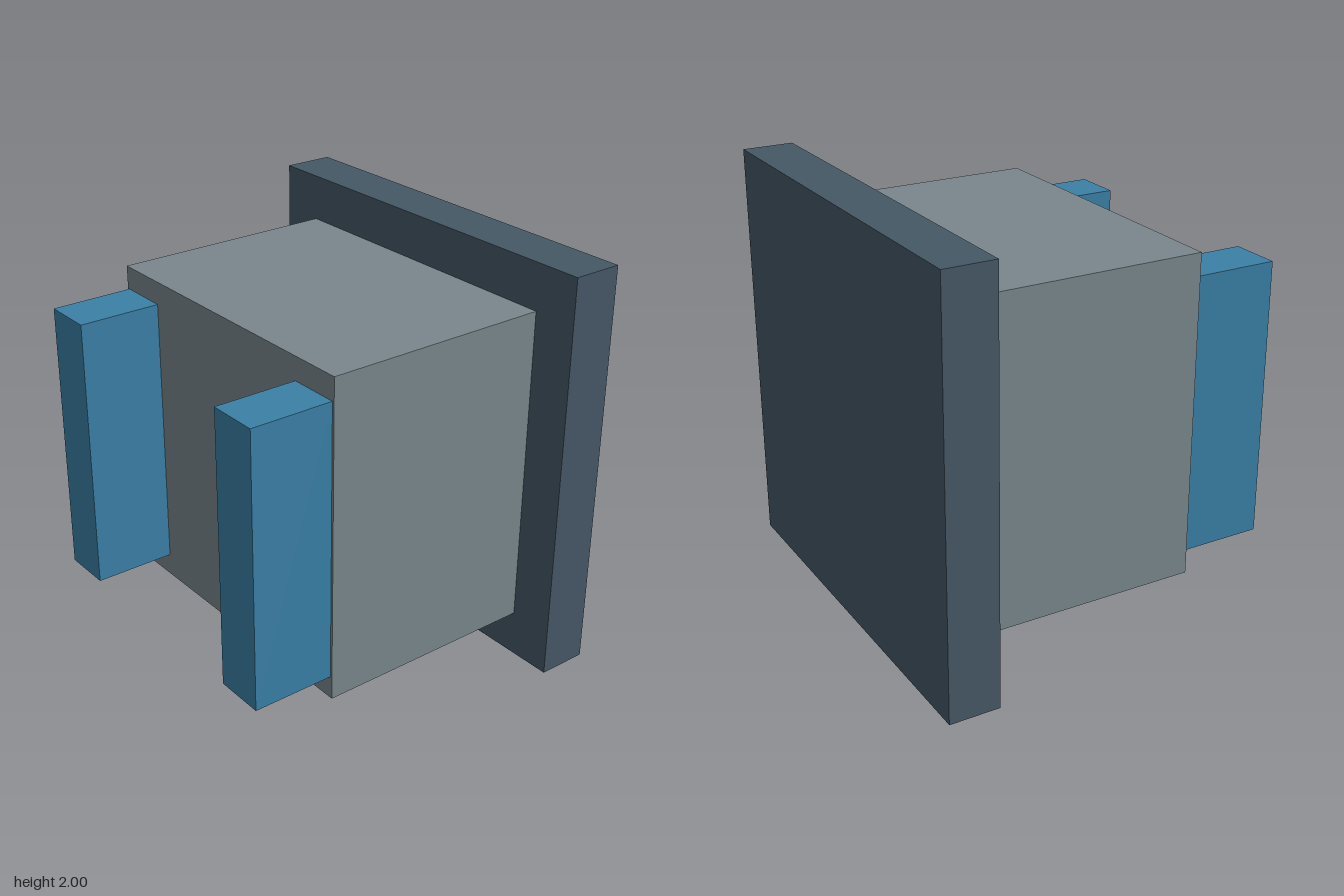
import * as THREE from 'three';

export function createModel() {
  const model = new THREE.Group();
  const slate = new THREE.MeshStandardMaterial({ color: 0x465866 });
  const grey = new THREE.MeshStandardMaterial({ color: 0x7a878c });
  const blue = new THREE.MeshStandardMaterial({ color: 0x3a80a6 });

  // Box given by its size, centre x and back z; all parts share the centre height
  const addBox = (name, material, width, height, depth, x, backZ) => {
    const mesh = new THREE.Mesh(new THREE.BoxGeometry(width, height, depth), material);
    mesh.name = name;
    mesh.position.set(x, 1, backZ + depth / 2);
    model.add(mesh);
  };

  // Square mounting plate at the back
  addBox('backPlate', slate, 2, 2, 0.245, 0, -0.878);

  // Main block
  addBox('body', grey, 1.556, 1.556, 1.111, 0, -0.633);

  // Pair of upright bars on the front
  for (const side of [-1, 1]) {
    addBox(side > 0 ? 'leftBar' : 'rightBar', blue, 0.245, 1.334, 0.4, side * 0.644, 0.478);
  }

  return model;
}
